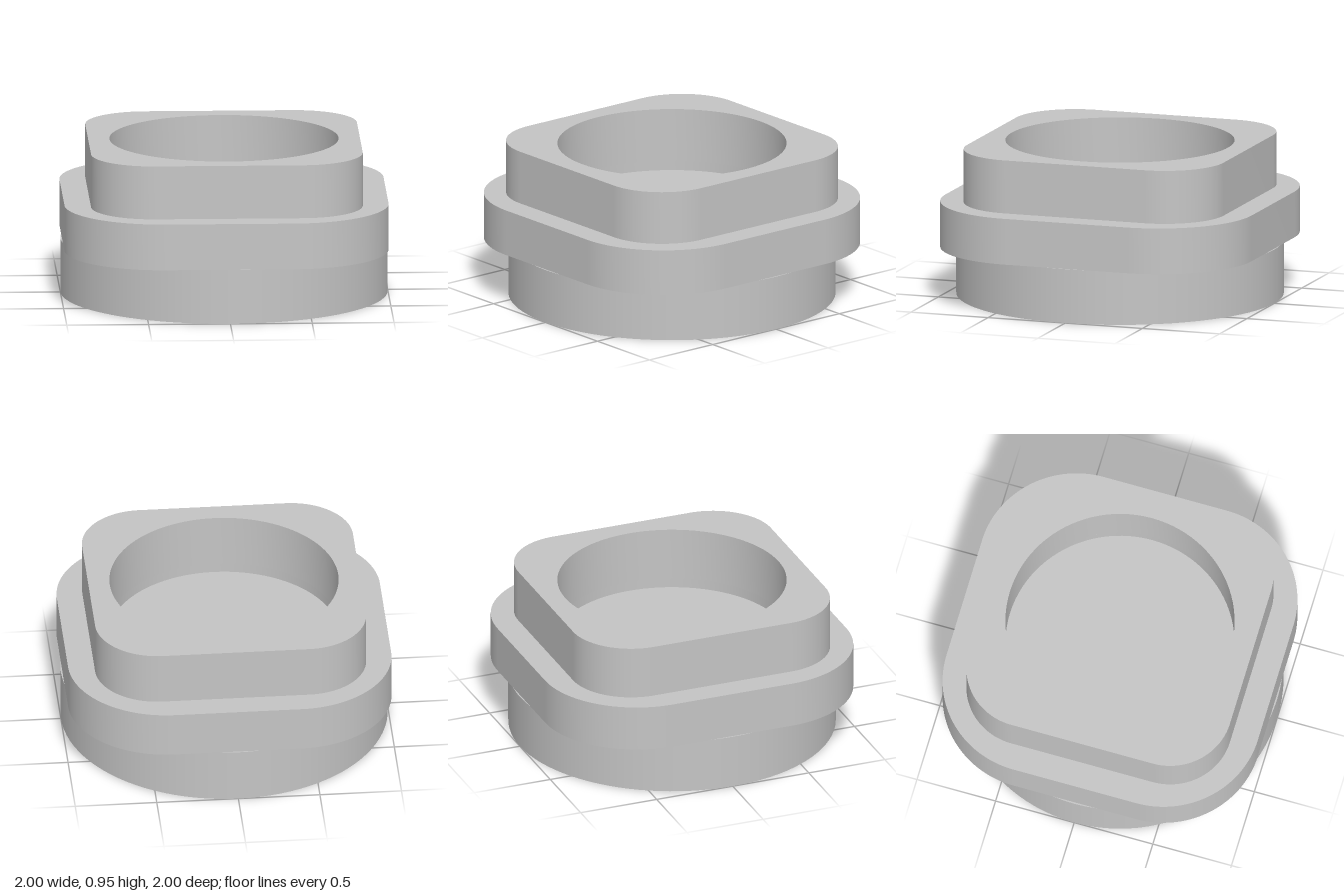
import * as THREE from 'three';
import { toCreasedNormals } from 'three/addons/utils/BufferGeometryUtils.js';

const BORE = 0.7;
const SEGMENTS = 96;

// Square outline with rounded corners and a round hole through the middle
function roundedSquare(half, radius) {
  const shape = new THREE.Shape();
  const c = half - radius;
  [[c, c], [-c, c], [-c, -c], [c, -c]].forEach(([x, y], i) => {
    shape.absarc(x, y, radius, i * Math.PI / 2, (i + 1) * Math.PI / 2, false);
  });
  shape.closePath();
  const hole = new THREE.Path();
  hole.absarc(0, 0, BORE, 0, Math.PI * 2, true);
  shape.holes.push(hole);
  return shape;
}

export function createModel() {
  const group = new THREE.Group();
  const grey = new THREE.MeshStandardMaterial({ color: 0xc4c4c4 });
  grey.name = 'grey';

  function add(name, geometry, y) {
    const mesh = new THREE.Mesh(geometry, grey);
    mesh.name = name;
    mesh.position.y = y;
    group.add(mesh);
  }

  function disc(name, radius, y0, y1) {
    add(name, new THREE.CylinderGeometry(radius, radius, y1 - y0, SEGMENTS), (y0 + y1) / 2);
  }

  function slab(name, half, radius, y0, y1) {
    const geometry = new THREE.ExtrudeGeometry(roundedSquare(half, radius), {
      depth: y1 - y0, bevelEnabled: false, curveSegments: SEGMENTS / 2,
    });
    geometry.rotateX(-Math.PI / 2);
    add(name, toCreasedNormals(geometry, Math.PI / 6), y0);
  }

  // Round foot, wide flange, narrower collar, and the floor of the bore
  disc('base', 1, 0, 0.335);
  slab('flange', 0.99, 0.6, 0.335, 0.62);
  slab('collar', 0.83, 0.38, 0.62, 0.95);
  disc('boreFloor', BORE, 0.335, 0.56);

  return group;
}
